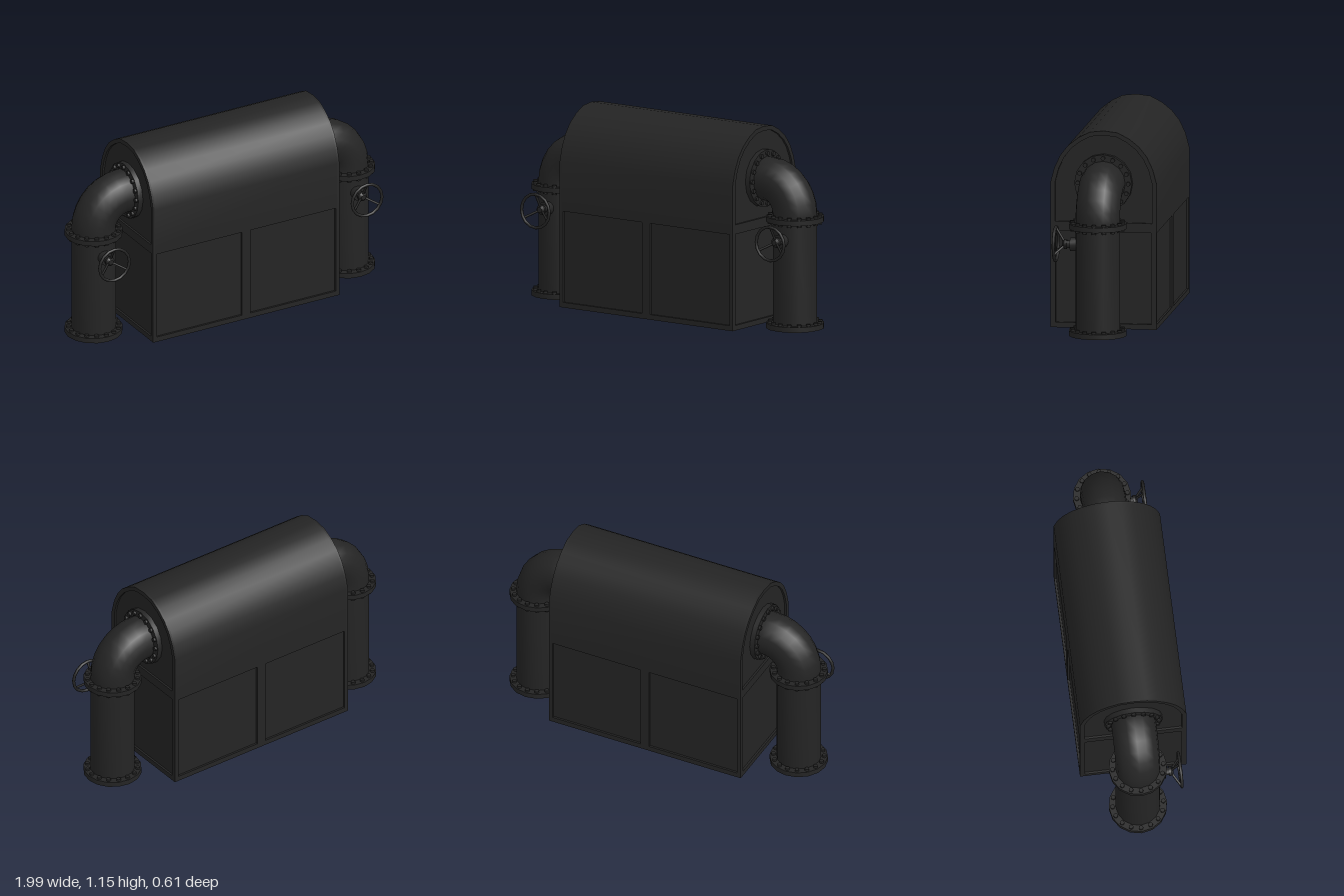
import * as THREE from 'three';
import { mergeGeometries, toCreasedNormals } from 'three/addons/utils/BufferGeometryUtils.js';

const iron = new THREE.MeshStandardMaterial({ color: 0x242424 });
iron.name = 'dark iron';

const SKIN = 0.012, HALF_X = 0.612, HALF_Z = 0.306;
const PIPE_R = 0.128, FLANGE_R = 0.167, PIPE_X = 0.83, BEND_R = 0.185;

function mesh(name, geometry, parent) {
  const m = new THREE.Mesh(geometry, iron);
  m.name = name;
  parent.add(m);
  return m;
}

// Arched outline: straight sides, then a many-sided round top
const ARCH = [[0.306, 0.845], [0.284, 0.928], [0.25, 1.0], [0.204, 1.058], [0.145, 1.104], [0.08, 1.137], [0, 1.146]];
function archPoints(inset) {
  const cy = 0.845, k = 1 - inset / HALF_Z;
  const half = ARCH.map(([z, y]) => new THREE.Vector2(z * k, cy + (y - cy) * k));
  const other = half.slice(0, -1).reverse().map(p => new THREE.Vector2(-p.x, p.y));
  return [...half, ...other];
}
const rect = (x0, y0, x1, y1) => [[x0, y0], [x1, y0], [x1, y1], [x0, y1]].map(p => new THREE.Vector2(...p));

function plate(outline, holes, depth) {
  const shape = new THREE.Shape(outline);
  holes.forEach(h => shape.holes.push(new THREE.Path(h)));
  return toCreasedNormals(new THREE.ExtrudeGeometry(shape, { depth, bevelEnabled: false }), 0.5);
}

function buildHousing() {
  const g = new THREE.Group();
  g.name = 'housing';
  const inX = HALF_X - SKIN, inZ = HALF_Z - SKIN, seam = 0.6;
  const v = (x, y) => new THREE.Vector2(x, y);

  // Core and arched roof; the lower walls are set back behind the frames
  const core = plate([v(-HALF_Z, seam), v(-inZ, seam), v(-inZ, SKIN), v(inZ, SKIN), v(inZ, seam), v(HALF_Z, seam),
    ...archPoints(0)], [], inX * 2);
  core.translate(0, 0, -inX).rotateY(Math.PI / 2);
  mesh('archedBody', core, g);

  // End frames with a lower panel opening and an arched upper one
  const endHoles = [rect(-0.278, 0.03, 0.278, 0.56),
    [v(-0.28, 0.615), v(0.28, 0.615), ...archPoints(0.026)]];
  const end = plate([v(-HALF_Z, 0), v(HALF_Z, 0), ...archPoints(0)], endHoles, SKIN).rotateY(Math.PI / 2);
  mesh('leftEndFrame', end, g).position.x = inX;
  mesh('rightEndFrame', end, g).position.x = -HALF_X;

  // Front and back frames with two panel openings each
  const side = plate(rect(-inX, 0, inX, seam), [rect(-0.588, 0.03, -0.028, 0.56), rect(0.028, 0.03, 0.588, 0.56)], SKIN);
  mesh('frontFrame', side, g).position.z = inZ;
  mesh('backFrame', side, g).position.z = -HALF_Z;

  // Underside frame
  const base = plate(rect(-inX, -inZ, inX, inZ), [rect(-0.588, -0.278, -0.028, 0.278), rect(0.028, -0.278, 0.588, 0.278)], SKIN);
  mesh('bottomFrame', base.rotateX(Math.PI / 2).translate(0, SKIN, 0), g);
  return g;
}

function lathe(points) {
  return toCreasedNormals(new THREE.LatheGeometry(points.map(p => new THREE.Vector2(...p)), 16), 0.5);
}

// Flange ring with sixteen bolts, standing along y from 0 to 0.03
function buildFlange(name, boltLow, boltHigh) {
  const g = new THREE.Group();
  g.name = name;
  mesh('flangeRing', lathe([[0.118, 0.03], [0.118, 0], [FLANGE_R, 0], [FLANGE_R, 0.03], [0.118, 0.03]]), g);
  const bolts = [];
  for (let i = 0; i < 16; i++) {
    const a = i * Math.PI / 8;
    bolts.push(new THREE.CylinderGeometry(0.013, 0.013, boltHigh - boltLow, 8)
      .translate(Math.cos(a) * 0.146, (boltLow + boltHigh) / 2, Math.sin(a) * 0.146));
  }
  mesh('flangeBolts', mergeGeometries(bolts), g);
  return g;
}

// Pipe leaving the +x end of the housing and bending down to the ground
function buildPipe(name) {
  const g = new THREE.Group();
  g.name = name;
  const upright = lathe([[0, 0.05], [0.118, 0.05], [0.118, 0.005], [PIPE_R, 0.005], [PIPE_R, 0.66]]);
  mesh('uprightPipe', upright, g).position.x = PIPE_X;

  const elbow = mesh('elbow', new THREE.TorusGeometry(BEND_R, PIPE_R, 16, 7, Math.PI / 2), g);
  elbow.position.set(PIPE_X - BEND_R, 0.66, 0);
  const stub = mesh('wallStub', new THREE.CylinderGeometry(PIPE_R, PIPE_R, 0.05, 16, 1, true), g);
  stub.rotation.z = Math.PI / 2;
  stub.position.set(0.62, 0.66 + BEND_R, 0);

  const foot = buildFlange('footFlange', 0.004, 0.042);
  foot.position.x = PIPE_X;
  const upper = buildFlange('upperFlange', -0.012, 0.042);
  upper.position.set(PIPE_X, 0.62, 0);
  const wall = buildFlange('wallFlange', 0, 0.042);
  wall.rotation.z = -Math.PI / 2;
  wall.position.set(0.6, 0.66 + BEND_R, 0);
  g.add(foot, upper, wall);
  return g;
}

// Rod between two points
function rod(a, b, r) {
  const dir = b.clone().sub(a);
  const q = new THREE.Quaternion().setFromUnitVectors(new THREE.Vector3(0, 1, 0), dir.clone().normalize());
  const mid = a.clone().add(b).multiplyScalar(0.5);
  return new THREE.CylinderGeometry(r, r, dir.length(), 6).applyQuaternion(q).translate(mid.x, mid.y, mid.z);
}

function buildValve(name) {
  const g = new THREE.Group();
  g.name = name;
  // Stepped valve body pointing forward
  const body = lathe([[0.04, 0.1], [0.04, 0.157], [0.022, 0.157], [0.022, 0.178], [0.028, 0.178], [0.028, 0.192],
    [0.015, 0.204], [0, 0.204]]);
  mesh('valveStem', body.rotateX(Math.PI / 2), g);
  mesh('handWheel', new THREE.TorusGeometry(0.098, 0.009, 8, 16), g).position.z = 0.242;
  const spokes = [0, 1, 2].map(i => {
    const a = Math.PI / 2 + i * Math.PI * 2 / 3, c = Math.cos(a), s = Math.sin(a);
    return rod(new THREE.Vector3(c * 0.01, s * 0.01, 0.19), new THREE.Vector3(c * 0.098, s * 0.098, 0.242), 0.007);
  });
  mesh('wheelSpokes', mergeGeometries(spokes), g);
  return g;
}

export function createModel() {
  const model = new THREE.Group();
  model.name = 'pipedMachine';
  model.add(buildHousing());
  for (const [side, s] of [['left', 1], ['right', -1]]) {
    const pipe = buildPipe(side + 'Pipe');
    if (s < 0) pipe.rotation.y = Math.PI;
    const valve = buildValve(side + 'Valve');
    valve.position.set(s * PIPE_X, 0.523, 0);
    model.add(pipe, valve);
  }
  return model;
}
